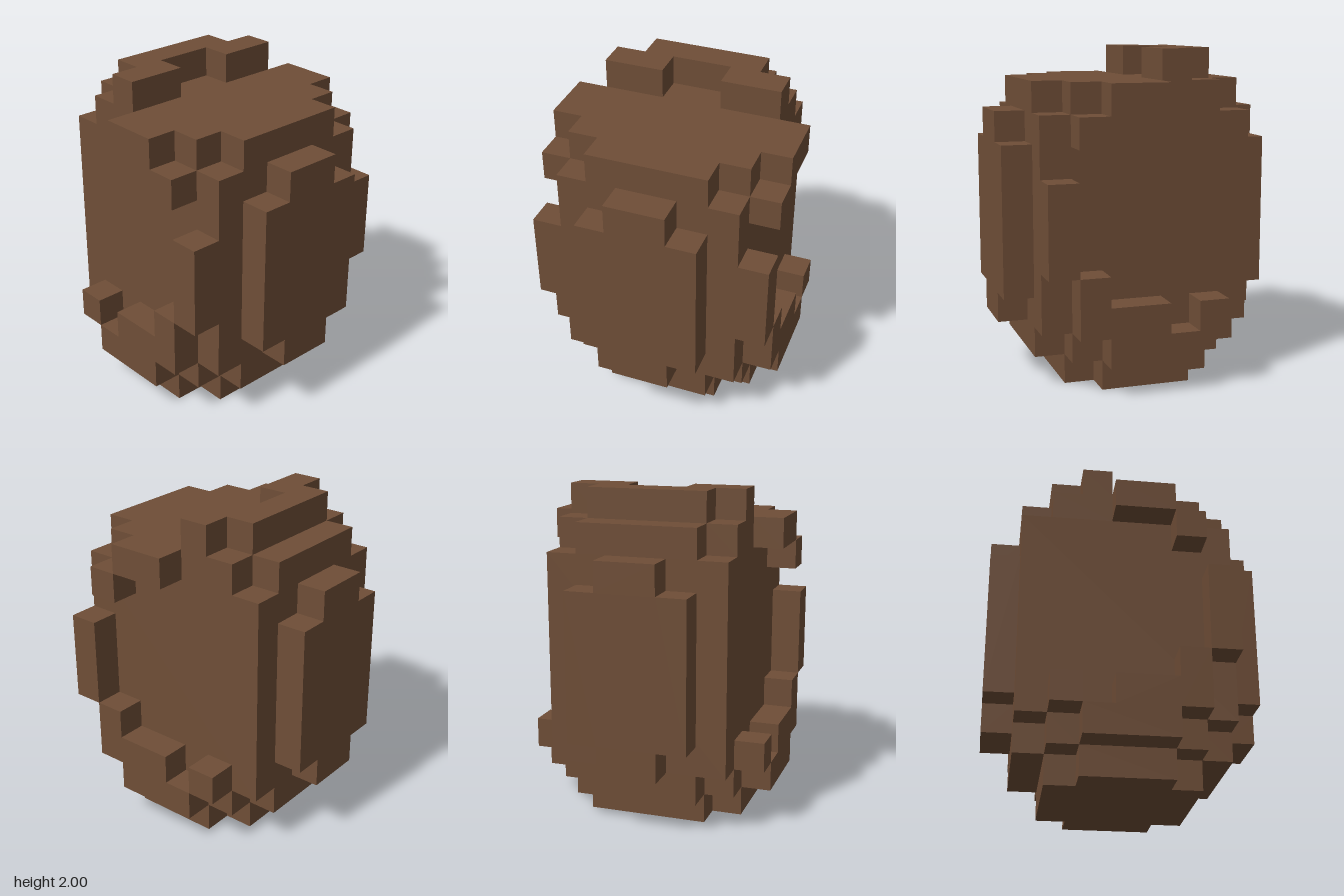
import * as THREE from 'three';

const U = 2 / 11; // edge of one block

export function createModel() {
  const group = new THREE.Group();
  const brown = new THREE.MeshStandardMaterial({ color: 0x6f4e37 });
  brown.name = 'brown';

  const add = (name, geometry) => {
    geometry.scale(U, U, U);
    const mesh = new THREE.Mesh(geometry, brown);
    mesh.name = name;
    group.add(mesh);
  };

  // Extrude a stepped outline given by its +x half, mirrored to -x
  const extrudeMirrored = (half, depth) => {
    const other = half.map(([a, b]) => [-a, b]).reverse();
    const shape = new THREE.Shape([...half, ...other].map(([a, b]) => new THREE.Vector2(a, b)));
    return new THREE.ExtrudeGeometry(shape, { depth, bevelEnabled: false });
  };

  // Horizontal layer: half outline in (x, z), from y0 to y1
  const layer = (name, y0, y1, half) => {
    const g = extrudeMirrored(half.map(([x, z]) => [x, -z]), y1 - y0);
    g.rotateX(-Math.PI / 2);
    g.translate(0, y0, 0);
    add(name, g);
  };

  layer('base', 0, 1, [[2, 2.5], [2, 1.5], [3, 1.5], [3, -1.5], [2, -1.5], [2, -2.5]]);
  layer('lowerStep', 1, 2, [[2, 3.5], [2, 2.5], [3, 2.5], [3, 1.5], [4, 1.5],
    [4, -1.5], [3, -1.5], [3, -2.5], [2, -2.5], [2, -3.5]]);
  layer('body', 2, 9, [[3, 3.5], [3, -3.5]]);
  layer('lid', 9, 10, [[2, 3.5], [2, 2.5], [3, 2.5], [3, 1.5], [4, 1.5],
    [4, -0.5], [3, -0.5], [3, -2.5], [2, -2.5], [2, -3.5]]);
  layer('crest', 10, 11, [[1, -1.5], [1, -0.5], [3, -0.5], [3, -1.5], [2, -1.5], [2, -2.5]]);

  // Raised panels on the front and back
  for (const [name, z] of [['frontPanel', 3.5], ['backPanel', -4.5]]) {
    const g = extrudeMirrored([[1, 9], [1, 8], [2, 8], [2, 3], [1, 3], [1, 2]], 1);
    g.translate(0, 0, z);
    add(name, g);
  }

  // Blocks on both flanks, one unit thick: name, y range, z range
  const flankBlocks = [
    ['CornerPost', 4, 7, 2.5, 3.5],
    ['FrontStep', 2, 4, 1.5, 2.5],
    ['SideLedge', 2, 3, -0.5, 1.5],
    ['RearStep', 2, 3, -2.5, -1.5],
    ['LidBracket', 8, 9, 1.5, 2.5],
  ];
  for (const [side, s] of [['left', 1], ['right', -1]]) {
    for (const [name, y0, y1, z0, z1] of flankBlocks) {
      const g = new THREE.BoxGeometry(1, y1 - y0, z1 - z0);
      g.translate(s * 3.5, (y0 + y1) / 2, (z0 + z1) / 2);
      add(side + name, g);
    }
  }

  return group;
}
